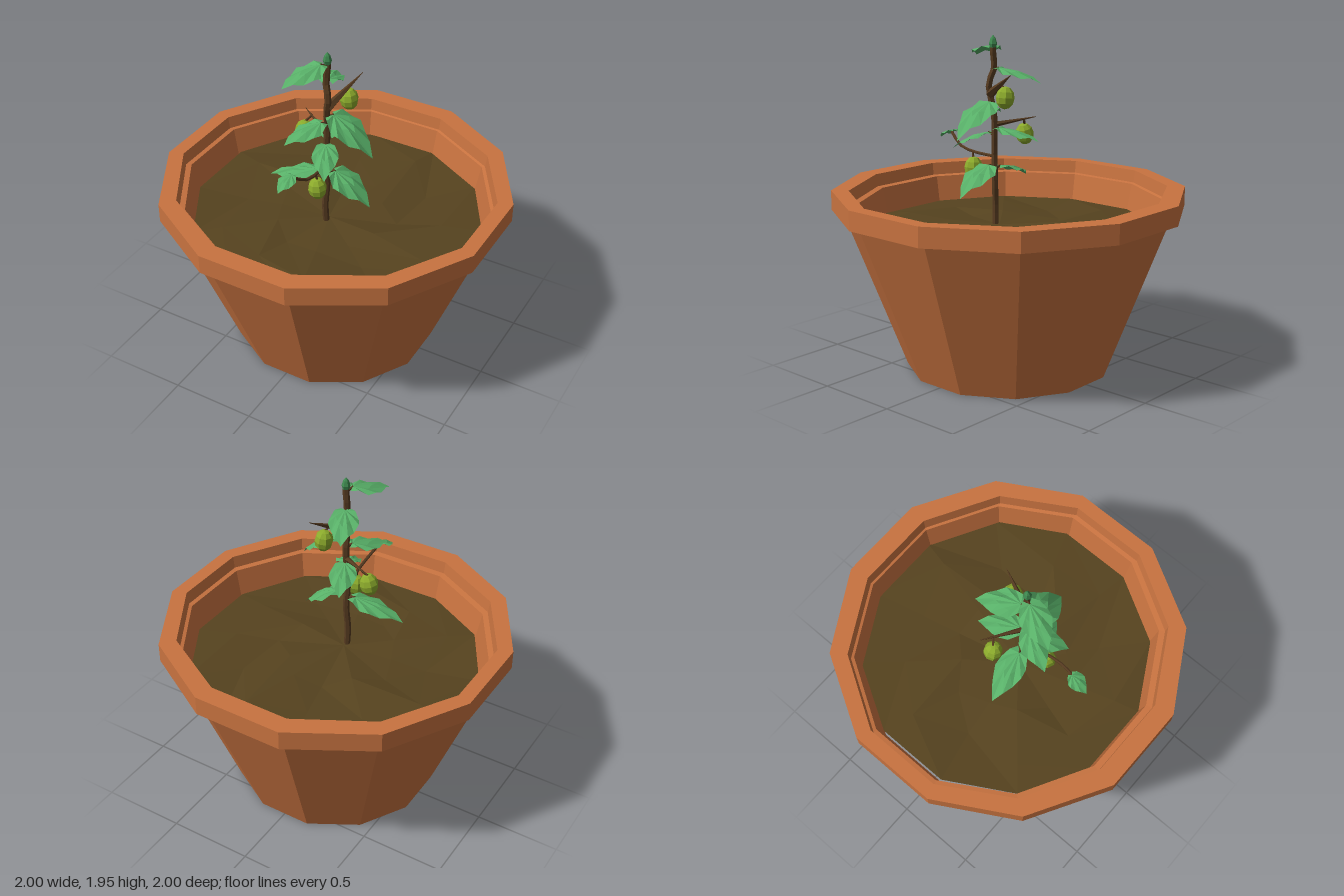
import * as THREE from 'three';

const V = (x, y, z) => new THREE.Vector3(x, y, z);

const mat = (name, color, side = THREE.FrontSide) => {
  const m = new THREE.MeshStandardMaterial({ color, flatShading: true, side });
  m.name = name;
  return m;
};

export function createModel() {
  const terracotta = mat('terracotta', 0xc87340);
  const earth = mat('earth', 0x56431f);
  const bark = mat('bark', 0x553a20);
  const green = mat('leaf green', 0x58b068, THREE.DoubleSide);
  const budGreen = mat('bud green', 0x3f8a50);
  const lime = mat('fruit green', 0x8cab2c);

  const model = new THREE.Group();
  model.name = 'pottedPlant';
  const add = (name, geometry, material, parent = model) => {
    const mesh = new THREE.Mesh(geometry, material);
    mesh.name = name;
    parent.add(mesh);
    return mesh;
  };

  // Twelve-sided pot: profile radii are given to the middle of each flat side
  const flat = 1 / Math.cos(Math.PI / 12);
  const lathe = (points) => new THREE.LatheGeometry(
    points.map(([r, y]) => new THREE.Vector2(r * flat, y)), 12, Math.PI / 12);

  add('potBody', lathe([[0, 0], [0.59, 0], [0.945, 0.95]]), terracotta);

  // Rim and inner wall; the opening is slightly wider in x than in z
  const rimProfile = [[0.945, 0.95], [1, 0.95], [1, 1.065],
    [0.885, 1.065], [0.875, 0.99], [0.85, 0.985], [0.81, 0.78]];
  const rim = lathe(rimProfile);
  const rp = rim.attributes.position;
  for (let i = 0; i < rp.count; i++) {
    const j = i % rimProfile.length;
    if (j >= 3) rp.setX(i, rp.getX(i) * 1.035);
    if (j >= 5) rp.setZ(i, rp.getZ(i) - 0.012);
  }
  add('potRim', rim, terracotta);

  // Uneven soil in rings around the stem
  const soil = lathe([[0.835, 0.83], [0.6, 0.83], [0.33, 0.835], [0, 0.835]]);
  const sp = soil.attributes.position;
  for (let i = 0; i < sp.count; i++) {
    const ring = i % 4, k = Math.floor(i / 4) % 12;
    const bump = Math.sin(k * 2.4 + ring * 1.7);
    if (ring === 1 || ring === 2) {
      const s = 1 + 0.13 * Math.sin(k * 3.9 + ring);
      sp.setXYZ(i, sp.getX(i) * s, sp.getY(i) + bump * 0.018, sp.getZ(i) * s);
    }
    sp.setZ(i, sp.getZ(i) + [-0.018, 0, 0.03, 0.08][ring]);
  }
  add('soil', soil, earth);

  const plant = new THREE.Group();
  plant.name = 'plant';
  model.add(plant);

  // Crooked stem
  const tube = (points, radius, segments) => new THREE.TubeGeometry(
    new THREE.CatmullRomCurve3(points.map((p) => V(...p))), segments, radius, 6);
  add('stem', tube([[0, 0.8, 0.11], [-0.005, 0.95, 0.115], [0.005, 1.1, 0.11], [0, 1.25, 0.118],
    [0.005, 1.38, 0.112], [0.01, 1.5, 0.112], [0.015, 1.58, 0.13], [0.028, 1.67, 0.135],
    [0.004, 1.76, 0.115], [0.012, 1.84, 0.115], [0.013, 1.9, 0.115]], 0.019, 22), bark, plant);

  // Closed bud at the top
  add('bud', new THREE.LatheGeometry([[0, 0], [0.018, 0], [0.025, 0.025], [0.016, 0.055], [0, 0.075]]
    .map((p) => new THREE.Vector2(...p)), 6), budGreen, plant).position.set(0.013, 1.875, 0.115);

  // Tapered straight twigs
  const twig = (name, a, b, r0, r1) => {
    const d = b.clone().sub(a);
    const mesh = add(name, new THREE.CylinderGeometry(r1, r0, d.length(), 5), bark, plant);
    mesh.position.copy(a).addScaledVector(d, 0.5);
    mesh.quaternion.setFromUnitVectors(V(0, 1, 0), d.normalize());
  };
  twig('upperTwig', V(0.02, 1.61, 0.13), V(0.11, 1.745, -0.11), 0.028, 0.001);
  twig('middleTwig', V(0.01, 1.43, 0.115), V(-0.21, 1.465, -0.02), 0.017, 0.002);
  add('lowerTwig', tube([[0, 1.24, 0.115], [0.025, 1.255, 0.27], [0.025, 1.28, 0.37],
    [-0.005, 1.345, 0.47]], 0.009, 6), bark, plant);

  // Ribbed round fruits, each with a short stalk
  const fruits = [
    [V(0.068, 1.605, -0.028), V(0.06, 1.675, 0.01), 0.1],
    [V(-0.185, 1.36, 0.045), V(-0.15, 1.45, 0.02), -0.25],
    [V(0.03, 1.16, 0.26), V(0.025, 1.255, 0.27), 0.1],
  ];
  for (const [at, stalkTop, tilt] of fruits) {
    const fruit = add('fruit', new THREE.SphereGeometry(0.054, 8, 6), lime, plant);
    fruit.scale.y = 1.22;
    fruit.rotation.z = tilt;
    fruit.position.copy(at);
    twig('fruitStalk', at.clone().add(V(0, 0.05, 0)), stalkTop, 0.007, 0.007);
  }

  // Heart-shaped leaf: half outline as [along, across], mirrored over the rib
  const half = [[-0.13, 0.3], [0.02, 0.68], [0.2, 0.96], [0.4, 1], [0.6, 0.75], [0.8, 0.42]];
  const outline = [...half, [1, 0], ...half.map(([u, v]) => [u, -v]).reverse()];
  const leaf = (base, tip, halfWidth) => {
    const along = V(tip.x - base.x, 0, tip.z - base.z);
    const across = V(along.z, 0, -along.x).normalize();
    const drop = tip.y - base.y;
    const ringPoint = ([u, v], k, s) => {
      const p = base.clone().addScaledVector(along, u * s).addScaledVector(across, v * s * halfWidth);
      const ruffle = (k % 2 ? 0.1 : -0.1) * halfWidth * s;
      p.y += drop * Math.max(u * s, 0) ** 1.7 - 0.25 * halfWidth * v * v * s + (u < 1 ? ruffle : 0);
      return p;
    };
    const inner = outline.map((o, k) => ringPoint(o, k, 0.55));
    const outer = outline.map((o, k) => ringPoint(o, k, 1));
    const pts = [];
    for (let k = 0; k < outline.length - 1; k++) {
      pts.push(base, inner[k + 1], inner[k]);
      pts.push(inner[k], inner[k + 1], outer[k], outer[k], inner[k + 1], outer[k + 1]);
    }
    const g = new THREE.BufferGeometry().setFromPoints(pts);
    g.computeVertexNormals();
    add('leaf', g, green, plant);
  };

  // Leaves from the top down: base, tip, half width
  const leaves = [
    [V(-0.01, 1.885, 0.15), V(-0.12, 1.81, 0.37), 0.085],
    [V(0, 1.765, 0.085), V(-0.11, 1.68, -0.14), 0.085],
    [V(0.05, 1.57, 0.11), V(0.305, 1.37, 0.125), 0.115],
    [V(-0.01, 1.52, 0.15), V(-0.12, 1.45, 0.36), 0.08],
    [V(0.02, 1.385, 0.15), V(0.12, 1.28, 0.34), 0.075],
    [V(0, 1.415, 0.085), V(-0.1, 1.34, -0.14), 0.08],
    [V(-0.05, 1.18, 0.12), V(-0.345, 1.075, 0.17), 0.085],
    [V(0.06, 1.2, 0.11), V(0.29, 1.03, 0.12), 0.105],
    [V(-0.01, 1.36, 0.465), V(-0.025, 1.3, 0.585), 0.052],
  ];
  for (const [base, tip, w] of leaves) {
    leaf(base, tip, w);
    if (base.z < 0.4) twig('leafStalk', V(0.005, base.y - 0.02, 0.115), base, 0.009, 0.005);
  }

  return model;
}
